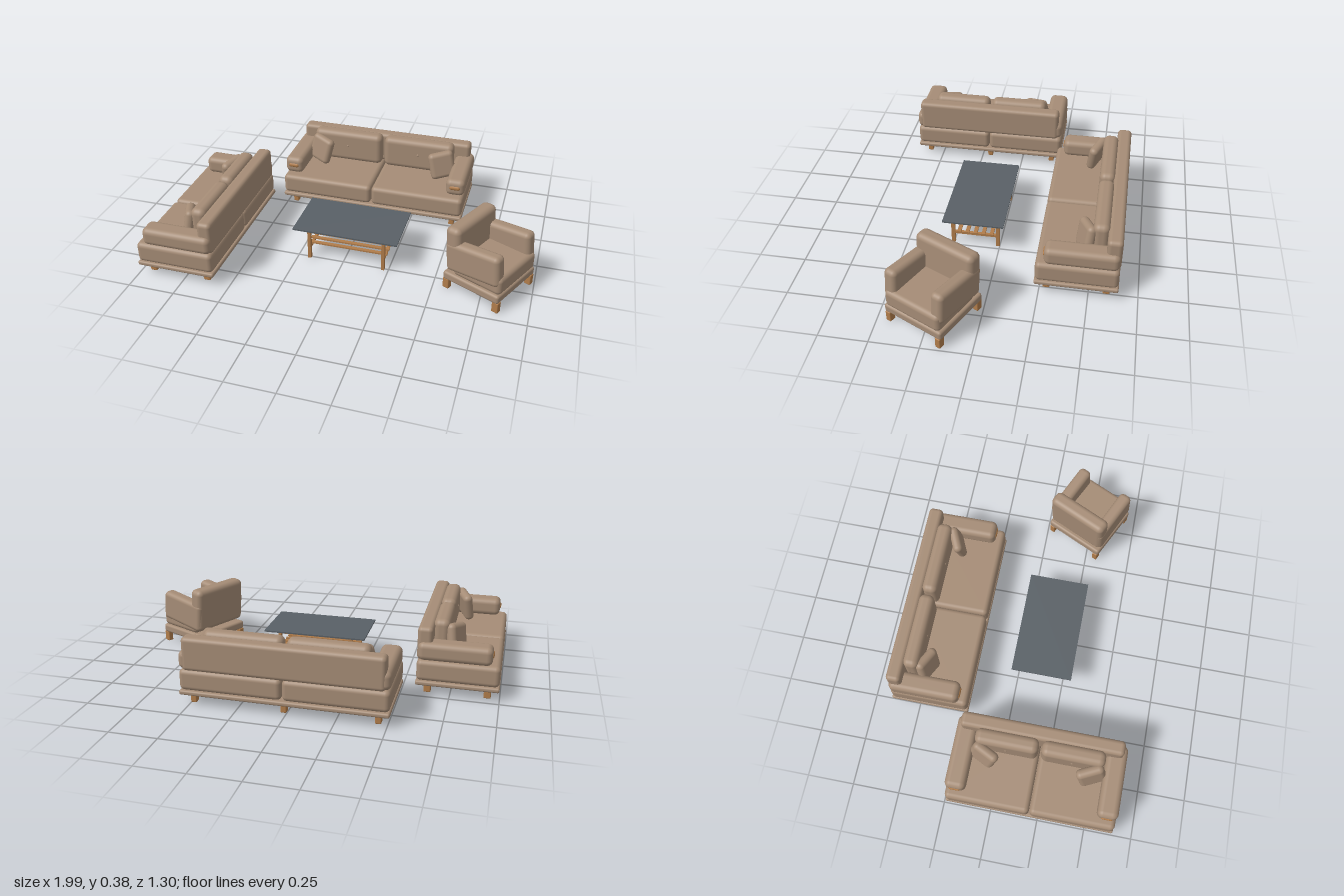
import * as THREE from 'three';
import { RoundedBoxGeometry } from 'three/addons/geometries/RoundedBoxGeometry.js';

const mat = (name, color) => {
  const m = new THREE.MeshStandardMaterial({ color });
  m.name = name;
  return m;
};

export function createModel() {
  const fabric = mat('taupe fabric', 0xa58c76);
  const wood = mat('warm wood', 0xb07c4a);
  const slate = mat('slate glass', 0x596066);

  const add = (parent, name, geometry, material, x, y, z) => {
    const mesh = new THREE.Mesh(geometry, material);
    mesh.name = name;
    mesh.position.set(x, y, z);
    parent.add(mesh);
    return mesh;
  };
  // Soft upholstered block
  const soft = (parent, name, [w, h, d], [x, y, z], r = 0.025) =>
    add(parent, name, new RoundedBoxGeometry(w, h, d, 4, r), fabric, x, y, z);
  const plank = (parent, name, [w, h, d], [x, y, z]) =>
    add(parent, name, new THREE.BoxGeometry(w, h, d), wood, x, y, z);
  const leg = (parent, x, z) =>
    add(parent, 'leg', new RoundedBoxGeometry(0.03, 0.06, 0.036, 2, 0.005), wood, x, 0.03, z);

  // Two-seat sofa facing +z
  function sofa(name, W) {
    const g = new THREE.Group();
    g.name = name;
    const D = 0.425, half = W / 2;
    soft(g, 'base', [W, 0.025, D], [0, 0.066, 0], 0.01);
    for (const x of [-half + 0.06, 0, half - 0.06])
      for (const z of [-0.153, 0.153]) leg(g, x, z);
    soft(g, 'backrest', [W - 0.045, 0.175, 0.077], [0, 0.273, -0.174], 0.022);
    for (const s of [-1, 1]) {
      soft(g, 'seatCushion', [half - 0.003, 0.112, D - 0.005], [s * half / 2, 0.134, 0]);
      soft(g, 'armrest', [0.107, 0.097, 0.375], [s * (half - 0.053), 0.237, -0.02], 0.03);
      const handle = add(g, 'armInset', new THREE.CapsuleGeometry(0.012, 0.036, 4, 12), wood,
        s * (half - 0.053), 0.241, 0.165);
      handle.rotation.z = Math.PI / 2;
      handle.scale.z = 0.7;
      // Back cushion with a single button
      const w = half - 0.118;
      soft(g, 'backCushion', [w, 0.185, 0.082], [s * (0.008 + w / 2), 0.283, -0.102], 0.032);
      const button = add(g, 'button', new THREE.SphereGeometry(0.007, 12, 8), fabric,
        s * (0.008 + w / 2), 0.29, -0.061);
      button.scale.z = 0.5;
      // Leaning throw pillow
      const pillow = soft(g, 'throwPillow', [0.145, 0.155, 0.052],
        [s * (half - 0.165), 0.272, -0.027], 0.025);
      pillow.rotation.set(-0.2, s * 0.4, s * 0.17, 'YXZ');
    }
    return g;
  }

  // Armchair facing +z
  function armchair() {
    const g = new THREE.Group();
    g.name = 'armchair';
    soft(g, 'base', [0.345, 0.048, 0.33], [0, 0.08, 0], 0.014);
    for (const x of [-0.152, 0.152]) for (const z of [-0.148, 0.148]) leg(g, x, z);
    soft(g, 'seatCushion', [0.33, 0.1, 0.28], [0, 0.151, 0.026]);
    soft(g, 'backrest', [0.345, 0.25, 0.085], [0, 0.245, -0.122], 0.03).rotation.x = -0.07;
    for (const s of [-1, 1])
      soft(g, 'armrest', [0.072, 0.168, 0.31], [s * 0.139, 0.216, -0.004], 0.026).rotation.x = -0.1;
    return g;
  }

  // Coffee table with a slatted shelf
  function table() {
    const g = new THREE.Group();
    g.name = 'coffeeTable';
    const X = 0.203, Z = 0.122;
    add(g, 'tableTop', new THREE.BoxGeometry(0.565, 0.008, 0.325), slate, 0, 0.189, 0);
    for (const s of [-1, 1]) {
      for (const z of [-Z, Z]) plank(g, 'tableLeg', [0.017, 0.185, 0.02], [s * X, 0.0925, z]);
      plank(g, 'longRail', [2 * X, 0.015, 0.015], [0, 0.1775, s * Z]);
      plank(g, 'endRail', [0.015, 0.015, 2 * Z], [s * X, 0.1775, 0]);
      plank(g, 'shelfRail', [0.015, 0.013, 2 * Z], [s * X, 0.066, 0]);
    }
    for (let i = -2; i <= 2; i++)
      plank(g, 'shelfSlat', [2 * X + 0.03, 0.008, 0.02], [0, 0.077, i * 0.044]);
    return g;
  }

  const model = new THREE.Group();
  model.name = 'livingRoomSet';
  const place = (part, x, z, turn = 0) => {
    part.position.set(x, 0, z);
    part.rotation.y = turn;
    model.add(part);
  };
  place(sofa('wideSofa', 1.06), 0.017, -0.437);
  place(sofa('narrowSofa', 0.885), -0.785, 0.203, -Math.PI / 2);
  place(armchair(), 0.77, 0.232, 1.125);
  place(table(), 0.017, 0.132);
  return model;
}
